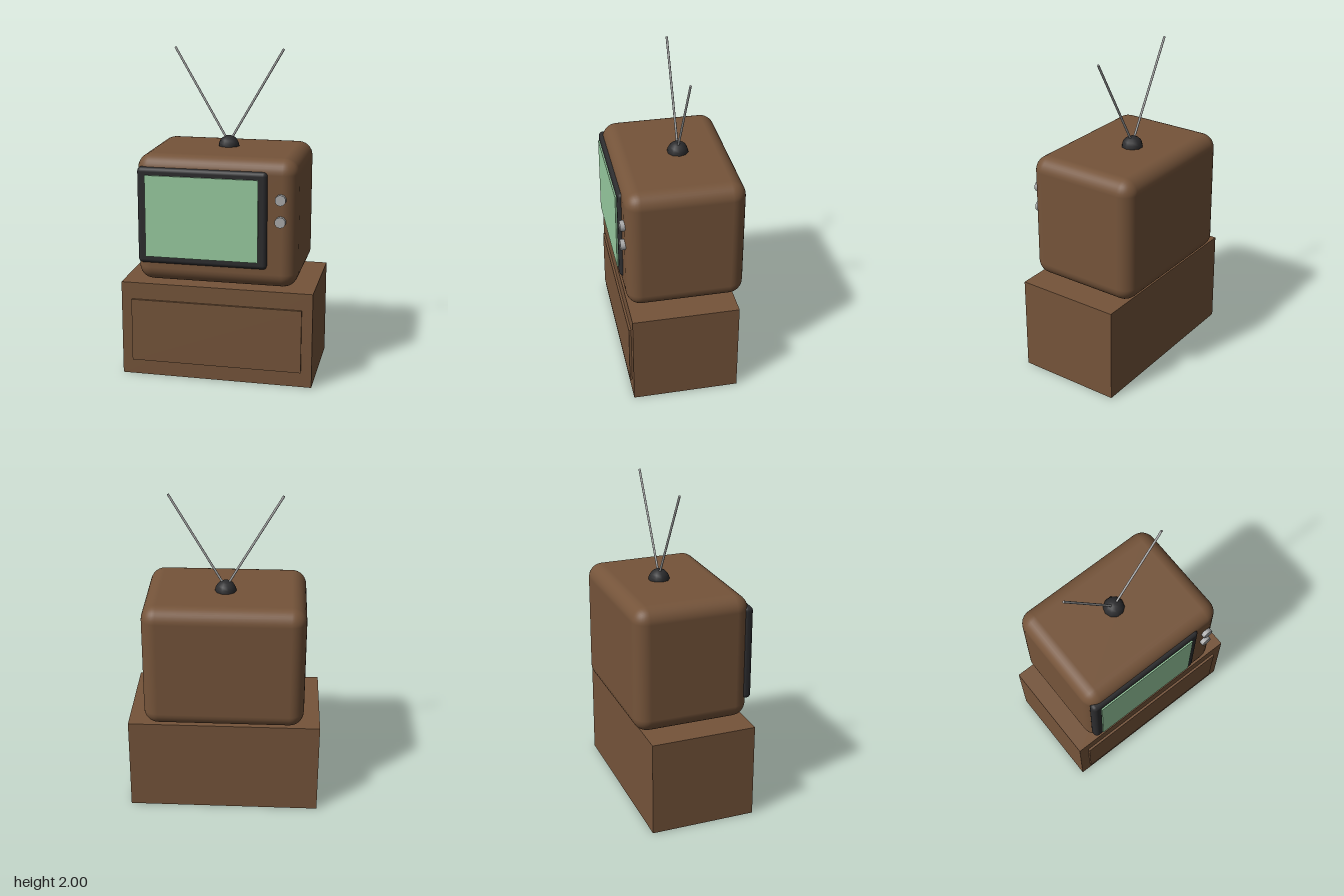
import * as THREE from 'three';
import { RoundedBoxGeometry } from 'three/addons/geometries/RoundedBoxGeometry.js';

function material(name, color) {
  const m = new THREE.MeshStandardMaterial({ color });
  m.name = name;
  return m;
}

export function createModel() {
  const wood = material('brown wood', 0x75543a);
  const black = material('black plastic', 0x2c2c2e);
  const glass = material('green glass', 0x98cba0);
  const metal = material('grey metal', 0xaaaaaa);

  const model = new THREE.Group();
  model.name = 'televisionOnStand';

  const add = (name, geometry, mat, x, y, z) => {
    const mesh = new THREE.Mesh(geometry, mat);
    mesh.name = name;
    mesh.position.set(x, y, z);
    model.add(mesh);
    return mesh;
  };

  // Stand with a slightly raised front panel
  add('stand', new THREE.BoxGeometry(1.184, 0.595, 0.656), wood, 0, 0.2975, 0.01);
  add('standPanel', new THREE.BoxGeometry(1.054, 0.395, 0.03), wood, 0, 0.2925, 0.337);

  // Rounded television case, bezel and screen
  add('televisionCase', new RoundedBoxGeometry(0.98, 0.784, 0.72, 4, 0.09), wood, 0, 1.003, -0.015);
  add('bezel', new RoundedBoxGeometry(0.79, 0.592, 0.06, 3, 0.026), black, -0.08, 1.029, 0.334);
  add('screen', new THREE.BoxGeometry(0.685, 0.5, 0.02), glass, -0.081, 1.029, 0.363);

  // Two control knobs
  for (const y of [1.165, 1.032]) {
    const knob = add('knob', new THREE.CylinderGeometry(0.033, 0.033, 0.04, 10), metal, 0.393, y, 0.351);
    knob.rotation.x = Math.PI / 2;
  }

  // Antenna dome
  add('antennaBase', new THREE.SphereGeometry(0.065, 10, 5, 0, Math.PI * 2, 0, Math.PI / 2),
    black, 0, 1.395, -0.055);

  // Mirrored antenna rods leaning outward
  const length = 0.67;
  const lean = Math.PI / 6;
  for (const side of [1, -1]) {
    const rod = add(side > 0 ? 'leftAntenna' : 'rightAntenna',
      new THREE.CylinderGeometry(0.007, 0.007, length, 8), metal,
      side * (0.336 - Math.sin(lean) * length / 2), 1.996 - Math.cos(lean) * length / 2, -0.055);
    rod.rotation.z = -side * lean;
  }

  return model;
}
